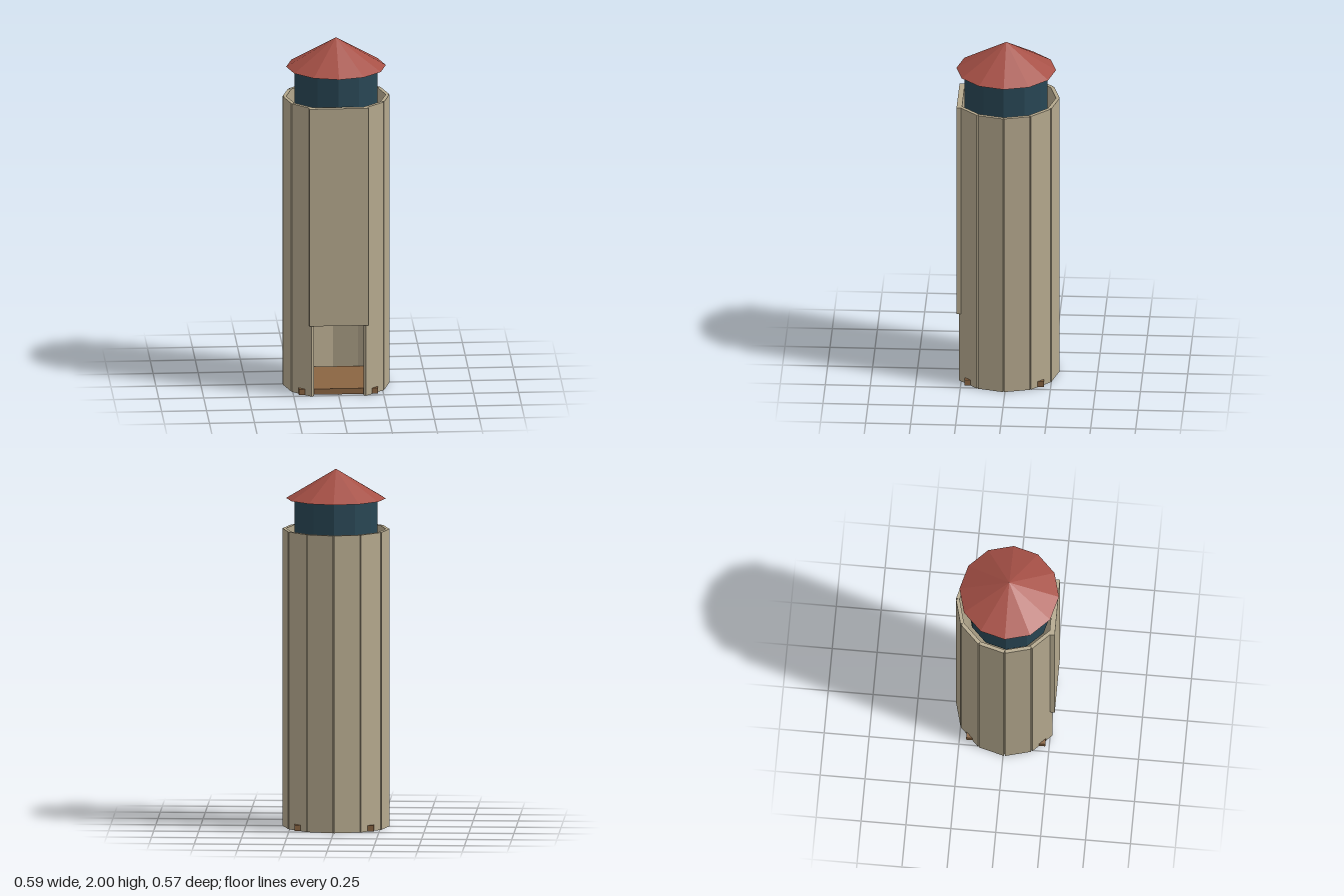
import * as THREE from 'three';

const mat = (color) => new THREE.MeshStandardMaterial({ color, flatShading: true });

export function createModel() {
  const group = new THREE.Group();
  const wood = mat(0xb5a98e), brown = mat(0x8a6542), blue = mat(0x284654), red = mat(0xa65046);
  const CZ = 0.008, WALL_H = 1.665, SIDES = 12;

  const add = (name, geometry, material, x, y, z) => {
    const mesh = new THREE.Mesh(geometry, material);
    mesh.name = name;
    mesh.position.set(x, y, z);
    group.add(mesh);
    return mesh;
  };

  // Ring of upright wall boards; the two at the front are left out for the doorway
  const board = new THREE.BoxGeometry(0.146, WALL_H, 0.02);
  for (let i = 1; i < SIDES - 1; i++) {
    const a = (i + 0.5) * Math.PI * 2 / SIDES;
    const panel = add('wallPanel', board, wood,
      Math.sin(a) * 0.277, WALL_H / 2, CZ + Math.cos(a) * 0.277);
    panel.rotation.y = a;
  }

  // Wide board above the doorway
  const doorTop = 0.41;
  add('frontPanel', new THREE.BoxGeometry(0.328, WALL_H - doorTop, 0.03), wood,
    -0.001, (WALL_H + doorTop) / 2, 0.261);

  // Square floor whose corners poke out through the wall
  add('floor', new THREE.BoxGeometry(0.44, 0.033, 0.44), brown, 0, 0.0175, CZ);

  // Lantern room, sunk into the top of the tower
  add('lanternRoom', new THREE.CylinderGeometry(0.23, 0.23, 0.29, SIDES), blue, 0, 1.69, CZ + 0.002);

  // Pointed roof
  add('roof', new THREE.ConeGeometry(0.277, 0.165, SIDES), red, 0, 1.9175, CZ);

  return group;
}
